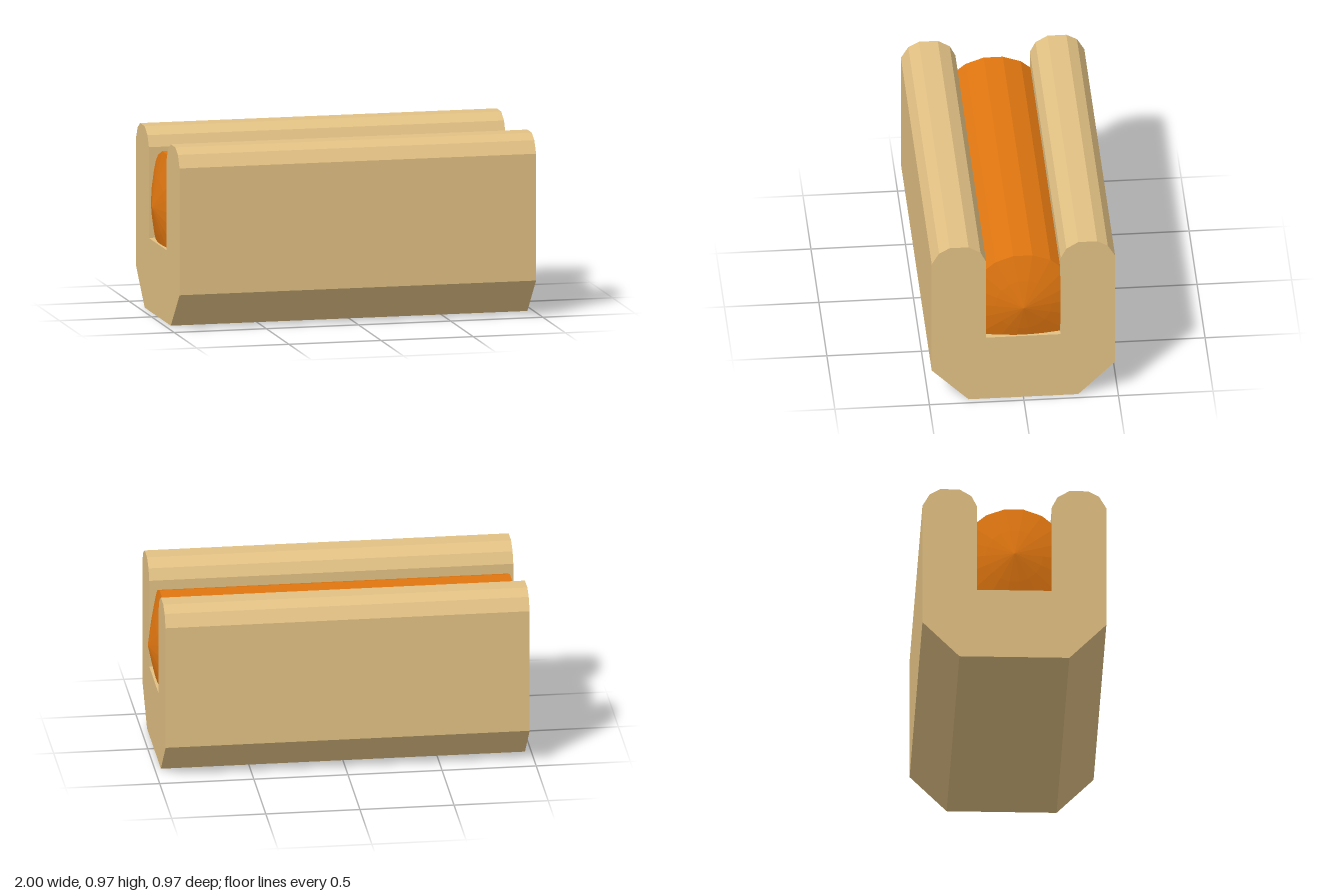
import * as THREE from 'three';

const bread = new THREE.MeshStandardMaterial({ color: 0xe1c083, flatShading: true });
bread.name = 'bread tan';
const meat = new THREE.MeshStandardMaterial({ color: 0xe07610, flatShading: true });
meat.name = 'sausage orange';

export function createModel() {
  const group = new THREE.Group();
  group.name = 'hotDog';

  // Bun: one half of the U-shaped section, mirrored and extruded along x
  const half = [
    [0.29, 0], [0.485, 0.195], [0.485, 0.873], [0.446, 0.939], [0.39, 0.97],
    [0.29, 0.97], [0.227, 0.932], [0.197, 0.873], [0.197, 0.388],
  ];
  const mirrored = half.map(([z, y]) => [-z, y]).reverse();
  const section = new THREE.Shape([...half, ...mirrored].map(([z, y]) => new THREE.Vector2(z, y)));
  const length = 1.934;
  const bunGeometry = new THREE.ExtrudeGeometry(section, { depth: length, bevelEnabled: false });
  bunGeometry.translate(0, 0, -length / 2).rotateY(Math.PI / 2);
  const bun = new THREE.Mesh(bunGeometry, bread);
  bun.name = 'bun';
  group.add(bun);

  // Sausage: 18-sided body with shallow pointed ends, lying in the groove
  const end = [[0, 1], [0.15, 0.967], [0.292, 0.93]];
  const profile = [
    ...end.map(([r, x]) => new THREE.Vector2(r, -x)),
    ...end.slice().reverse().map(([r, x]) => new THREE.Vector2(r, x)),
  ];
  const sausageGeometry = new THREE.LatheGeometry(profile, 18).rotateZ(Math.PI / 2);
  const sausage = new THREE.Mesh(sausageGeometry, meat);
  sausage.name = 'sausage';
  sausage.position.y = 0.587;
  group.add(sausage);

  return group;
}
